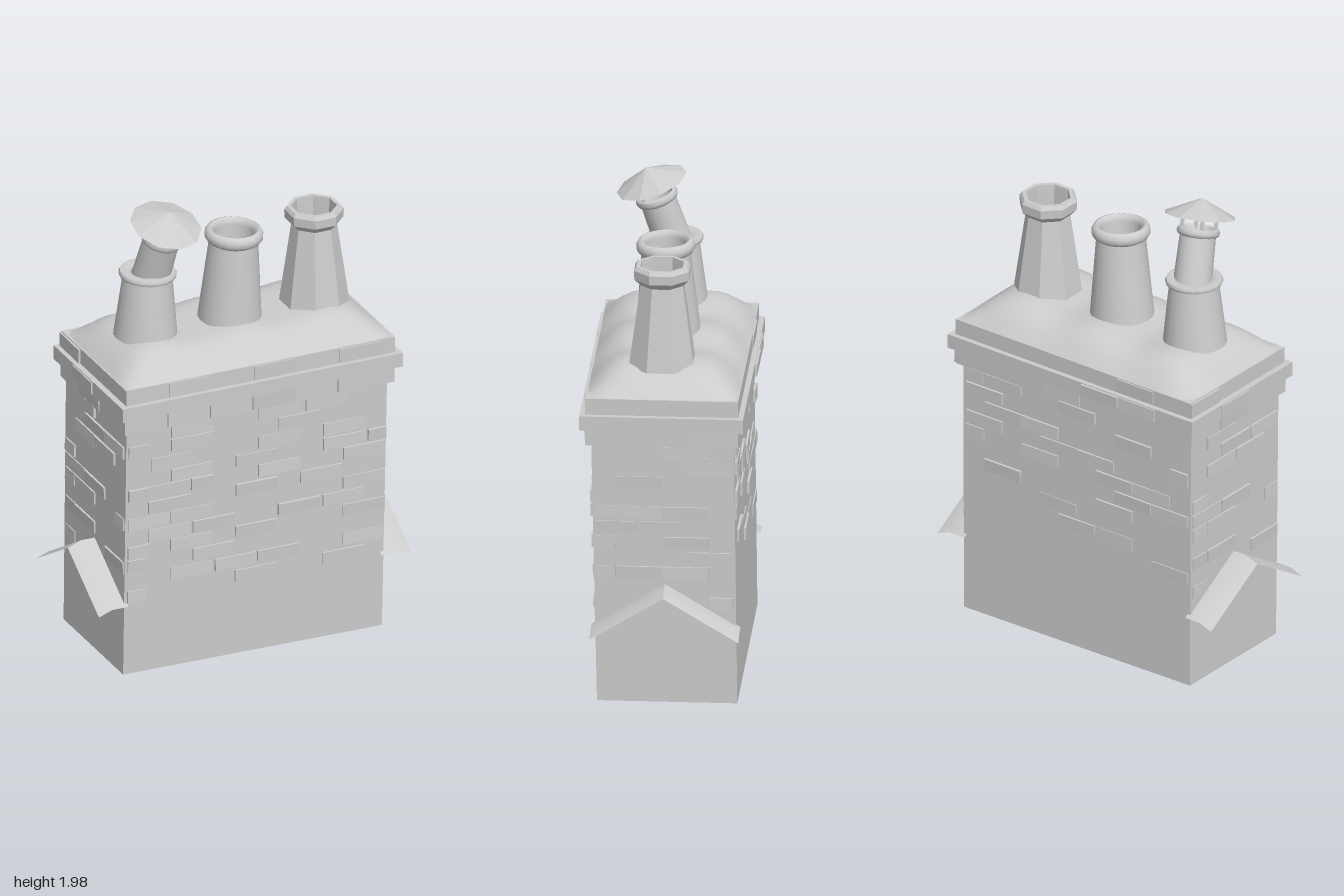
import * as THREE from 'three';
import { toCreasedNormals } from 'three/addons/utils/BufferGeometryUtils.js';

const clay = new THREE.MeshStandardMaterial({ color: 0xcccccc, side: THREE.DoubleSide });
clay.name = 'plain grey';

let seed = 11;
const rand = () => (seed = (seed * 16807) % 2147483647) / 2147483647;

function add(parent, name, geometry, x = 0, y = 0, z = 0) {
  const mesh = new THREE.Mesh(geometry, clay);
  mesh.name = name;
  mesh.position.set(x, y, z);
  parent.add(mesh);
  return mesh;
}

// Turned shape from [radius, height] pairs
function turned(profile, sides, crease, phase = 0) {
  const pts = profile.map(([r, y]) => new THREE.Vector2(r, y));
  return toCreasedNormals(new THREE.LatheGeometry(pts, sides, phase), crease);
}

// Box given by its limits
function block(parent, name, x0, x1, y0, y1, z0, z1) {
  return add(parent, name, new THREE.BoxGeometry(x1 - x0, y1 - y0, z1 - z0),
    (x0 + x1) / 2, (y0 + y1) / 2, (z0 + z1) / 2);
}

// Proud brick on a wall: side is 'front', 'back', 'left' or 'right'
function brick(parent, side, a, b, y, plane, height = 0.052) {
  const along = side === 'front' || side === 'back';
  const out = side === 'front' || side === 'left' ? 1 : -1;
  const proud = 0.004 + rand() * 0.006, deep = 0.024;
  const mid = (a + b) / 2, off = plane + out * (proud - deep / 2);
  const geo = new THREE.BoxGeometry(along ? b - a : deep, height, along ? deep : b - a);
  const mesh = add(parent, side + 'Brick', geo, along ? mid : off, y, along ? off : mid);
  mesh.rotation.set(along ? (rand() - 0.5) * 0.12 : 0, (rand() - 0.5) * 0.025, along ? 0 : (rand() - 0.5) * 0.12);
}

// Random courses of bricks between two ends of a wall
function courses(parent, side, a, b, plane, yLow, chance) {
  for (let i = 0; i < 13; i++) {
    const y = 1.145 - i * 0.0645;
    for (let s = a - (i % 2) * 0.095; s < b - 0.02; s += 0.19) {
      const p = Math.max(a, s), q = Math.min(b, s + 0.185);
      if (rand() < chance && y > yLow((p + q) / 2) && q - p > 0.04) brick(parent, side, p, q, y, plane);
    }
  }
}

function makeStack(root) {
  const stack = new THREE.Group();
  stack.name = 'stack';
  root.add(stack);

  // Open-bottomed shaft, leaning slightly
  const shaft = new THREE.BoxGeometry(1.16, 1.15, 0.58);
  shaft.setIndex([...shaft.index.array].filter((_, i) => i < 18 || i >= 24));
  const p = shaft.attributes.position;
  for (let i = 0; i < p.count; i++) {
    const low = p.getY(i) < 0;
    const x = p.getX(i) < 0 ? (low ? -0.585 : -0.58) : (low ? 0.572 : 0.585);
    const z = p.getZ(i) > 0 ? (low ? 0.265 : 0.288) : (low ? -0.305 : -0.292);
    p.setXYZ(i, x, low ? (x < 0 ? 0.02 : 0.007) : 1.15, z);
  }
  add(stack, 'shaft', toCreasedNormals(shaft, 0.5));

  // Front bricks: course height, then start and length pairs
  const L = 0.185;
  const rows = [
    [1.145, -0.57, L, -0.28, L, -0.1, L], [1.08, -0.38, L, 0.01, L, 0.22, L],
    [1.02, -0.57, 0.09, -0.38, L, 0.1, L], [0.95, -0.47, L, 0.01, L, 0.3, L],
    [0.885, -0.38, L, -0.09, L, 0.3, L, 0.5, 0.08], [0.825, -0.57, 0.09, -0.48, L, -0.29, 0.1, 0.01, L, 0.39, L],
    [0.757, -0.48, L, -0.09, L, 0.2, L], [0.693, -0.57, L, -0.38, L, 0.39, L],
    [0.63, -0.48, L, -0.28, L, 0.1, L, 0.3, L], [0.567, -0.57, 0.1, -0.38, L, -0.09, L, 0.39, L],
    [0.505, -0.57, 0.08, -0.28, L], [0.435, -0.38, L, -0.18, L, 0.01, L, 0.39, L],
    [0.367, -0.57, 0.08, -0.09, L, 0.3, L],
  ];
  for (const [y, ...runs] of rows)
    for (let i = 0; i < runs.length; i += 2)
      brick(stack, 'front', runs[i], Math.min(0.58, runs[i] + runs[i + 1]), y, 0.266 + 0.02 * y);

  // Other walls; side bricks stay above the flashing
  const gable = z => 0.56 - Math.abs(z + 0.01) * 0.6;
  courses(stack, 'back', -0.57, 0.57, -0.297, x => 0.4 + (x + 0.57) * 0.25, 0.45);
  courses(stack, 'left', -0.285, 0.27, 0.579, gable, 0.45);
  courses(stack, 'right', -0.285, 0.27, -0.582, gable, 0.55);

  // Stepped bands with a few proud bricks
  const bands = [
    ['lowerBand', -0.597, 0.607, 1.115, 1.187, 0.311],
    ['middleBand', -0.618, 0.635, 1.187, 1.248, 0.333],
    ['upperBand', -0.592, 0.61, 1.248, 1.316, 0.311],
  ];
  for (const [name, x0, x1, y0, y1, d] of bands) {
    block(stack, name, x0, x1, y0, y1, -d, d);
    const y = (y0 + y1) / 2, h = y1 - y0 - 0.008;
    for (const [side, a, b, plane] of [['front', x0, x1, d], ['back', x0, x1, -d], ['left', -d, d, x1], ['right', -d, d, x0]])
      for (let s = a; s < b - 0.19; s += 0.19)
        if (rand() < 0.35) brick(stack, side, s, s + 0.185, y, plane, h);
  }
}

function makeMortar(root) {
  // Rounded mortar bed, sagging between the pots
  const geo = new THREE.PlaneGeometry(1.196, 0.62, 28, 16).rotateX(-Math.PI / 2);
  const p = geo.attributes.position;
  const rise = (d, w) => 1 - Math.pow(1 - Math.min(d / w, 1), 2.2);
  for (let i = 0; i < p.count; i++) {
    const x = p.getX(i), z = p.getZ(i);
    const up = rise(0.598 - Math.abs(x), 0.16) * rise(0.31 - Math.abs(z), 0.19);
    const sag = 0.012 * (1 - Math.cos((x + 0.01) * 16.5)) * up;
    p.setY(i, 1.312 + 0.11 * up - sag);
  }
  geo.computeVertexNormals();
  add(root, 'mortarBed', geo, 0.009);
}

function makePots(root) {
  // Plain round pot with a rolled lip
  const round = add(root, 'roundPot', turned([
    [0.131, 0], [0.101, 0.34], [0.112, 0.347], [0.12, 0.36], [0.12, 0.378], [0.112, 0.393],
    [0.1, 0.398], [0.087, 0.39], [0.083, 0.37], [0.09, 0.1], [0, 0.1]], 20, 0.9), 0.008, 1.405, 0.013);
  round.rotation.set(0.03, 0, -0.04);

  // Eight-sided pot with a flared crown
  const k = 1 / Math.cos(Math.PI / 8);
  add(root, 'octagonalPot', turned([
    [0.132, 0], [0.086, 0.345], [0.11, 0.372], [0.112, 0.41], [0.102, 0.425], [0.086, 0.425],
    [0.084, 0.37], [0.09, 0.1], [0, 0.1]].map(([r, y]) => [r * k, y]), 8, 0.3, Math.PI / 8), 0.386, 1.398, 0.013);

  // Base of the hooded pot
  const base = add(root, 'hoodedPotBase', turned([
    [0.131, 0], [0.102, 0.258], [0.115, 0.263], [0.119, 0.275], [0.114, 0.286], [0.09, 0.29], [0.07, 0.28]], 20, 0.8),
    -0.367, 1.4, 0.01);
  base.rotation.set(0.02, 0, -0.03);

  // Leaning flue with a conical hood on struts
  const flue = new THREE.Group();
  flue.name = 'hoodedFlue';
  flue.position.set(-0.347, 1.66, 0.02);
  flue.rotation.set(0.32, 0, -0.1);
  root.add(flue);
  add(flue, 'fluePipe', turned([
    [0.079, -0.01], [0.074, 0.19], [0.084, 0.195], [0.089, 0.208], [0.084, 0.222], [0.074, 0.226],
    [0.066, 0.215], [0.066, 0.05], [0, 0.05]], 20, 0.8));
  for (let i = 0; i < 4; i++) {
    const a = Math.PI / 4 + i * Math.PI / 2;
    add(flue, 'hoodStrut', new THREE.BoxGeometry(0.012, 0.09, 0.012), Math.cos(a) * 0.07, 0.25, Math.sin(a) * 0.07);
  }
  add(flue, 'hood', turned([[0.13, 0.282], [0.15, 0.274], [0, 0.346]], 10, 0.2));
  add(flue, 'hoodUnderside', turned([[0.13, 0.282], [0, 0.325]], 10, 0.2));
}

function makeFlashing(root, side) {
  // Bent gable sheet: cross-sections from the wall outwards as [x, drop]
  const sections = side > 0 ? [[0.56, 0], [0.64, 0], [0.697, 0.022]] : [[-0.57, 0], [-0.645, 0], [-0.703, 0.022]];
  const ridge = [[0.287, 0.332], [-0.012, 0.515], [-0.318, 0.332]];
  const verts = [], index = [];
  for (const [x, drop] of sections) for (const [z, y] of ridge) verts.push(x, y - drop, z);
  for (let i = 0; i < 2; i++)
    for (let j = 0; j < 2; j++) {
      const a = i * 3 + j, b = a + 3;
      if (side > 0) index.push(a, b, a + 1, b, b + 1, a + 1);
      else index.push(a, a + 1, b, b, a + 1, b + 1);
    }
  const geo = new THREE.BufferGeometry();
  geo.setAttribute('position', new THREE.Float32BufferAttribute(verts, 3));
  geo.setIndex(index);
  add(root, side > 0 ? 'leftFlashing' : 'rightFlashing', toCreasedNormals(geo, 0.6));
}

export function createModel() {
  const root = new THREE.Group();
  root.name = 'chimney';
  makeStack(root);
  makeMortar(root);
  makePots(root);
  makeFlashing(root, 1);
  makeFlashing(root, -1);
  return root;
}
